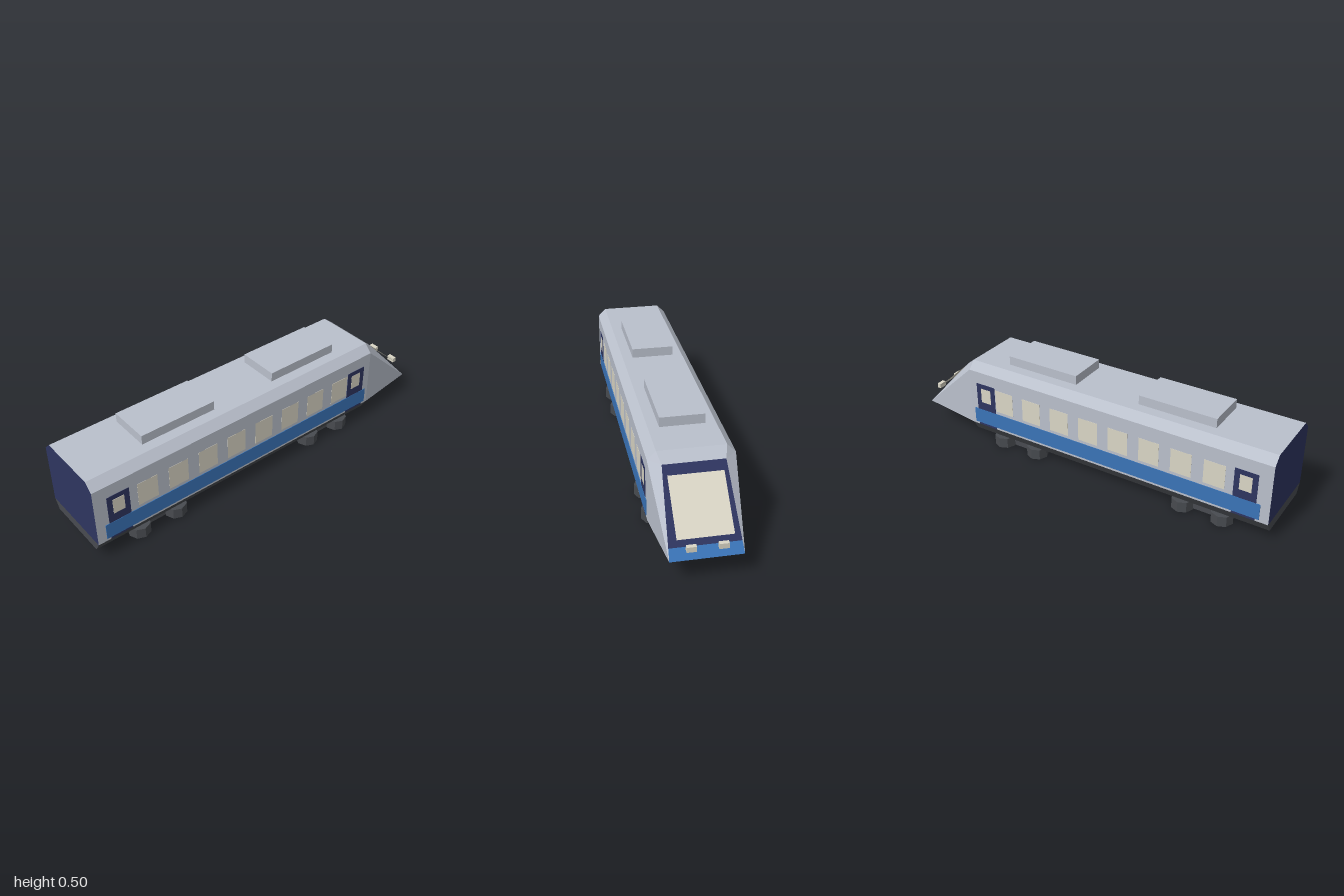
import * as THREE from 'three';

const paint = (name, color) => {
  const m = new THREE.MeshStandardMaterial({ color, side: THREE.DoubleSide });
  m.name = name;
  return m;
};

export function createModel() {
  const silver = paint('silver', 0xbac0cc);
  const navy = paint('navy', 0x2e3560);
  const blue = paint('blue', 0x3a74b8);
  const cream = paint('cream', 0xdad6c6);
  const dark = paint('dark grey', 0x484b50);

  const train = new THREE.Group();
  train.name = 'railcar';

  const add = (name, geometry, material) => {
    const mesh = new THREE.Mesh(geometry, material);
    mesh.name = name;
    train.add(mesh);
    return mesh;
  };

  // Box given by its limits on each axis
  const box = (name, material, [x0, x1], [y0, y1], [z0, z1]) =>
    add(name, new THREE.BoxGeometry(x1 - x0, y1 - y0, z1 - z0), material)
      .position.set((x0 + x1) / 2, (y0 + y1) / 2, (z0 + z1) / 2);

  // Flat-faced surface from convex polygons
  const faces = (name, material, polygons) => {
    const points = [];
    for (const p of polygons)
      for (let i = 1; i < p.length - 1; i++) points.push(...p[0], ...p[i], ...p[i + 1]);
    const g = new THREE.BufferGeometry();
    g.setAttribute('position', new THREE.Float32BufferAttribute(points, 3));
    g.computeVertexNormals();
    add(name, g, material);
  };

  // Symmetric section (half width, height) extruded along x
  const hull = (name, half, materials) => {
    const outline = [...half, ...half.map(([z, y]) => [-z, y]).reverse()];
    const shape = new THREE.Shape(outline.map(([z, y]) => new THREE.Vector2(z, y)));
    const g = new THREE.ExtrudeGeometry(shape, { depth: 1.665, bevelEnabled: false });
    g.rotateY(Math.PI / 2).translate(-1, 0, 0);
    add(name, g, materials);
  };

  // Carriage body with navy end wall, and tapered skirt
  hull('body', [[0.195, 0.105], [0.195, 0.415], [0.155, 0.455]], [navy, silver]);
  hull('skirt', [[0.165, 0.055], [0.195, 0.105]], dark);

  // Cab corners on one side
  const eave = s => [0.665, 0.415, 0.195 * s];
  const sill = s => [0.665, 0.105, 0.195 * s];
  const ridge = s => [0.665, 0.455, 0.155 * s];
  const brow = s => [0.715, 0.415, 0.14 * s];
  const chin = s => [0.99, 0.117, 0.16 * s];
  const band = s => [0.952, 0.158, 0.157 * s];

  const shell = [
    [ridge(1), brow(1), brow(-1), ridge(-1)],
    [sill(1), sill(-1), chin(-1), chin(1)],
  ];
  for (const s of [1, -1]) {
    shell.push([eave(s), sill(s), chin(s)], [eave(s), chin(s), brow(s)], [ridge(s), eave(s), brow(s)]);
  }
  faces('cabShell', silver, shell);
  faces('cabFront', navy, [[brow(1), band(1), band(-1), brow(-1)]]);
  faces('cabFrontBand', blue, [[band(1), chin(1), chin(-1), band(-1)]]);
  faces('windshield', cream, [[
    [0.752, 0.382, 0.123], [0.955, 0.198, 0.123], [0.955, 0.198, -0.123], [0.752, 0.382, -0.123],
  ]]);

  // Roof equipment
  for (const x of [-0.48, 0.27])
    box('roofUnit', silver, [x - 0.2, x + 0.2], [0.458, 0.505], [-0.105, 0.105]);

  for (const s of [1, -1]) {
    // Thin plate standing slightly proud of the side wall
    const plate = (name, material, xs, ys, proud) =>
      box(name, material, xs, ys, s > 0 ? [0.194, 0.195 + proud] : [-0.195 - proud, -0.194]);

    for (let i = 0; i < 8; i++) {
      const x = -0.778 + i * 0.168;
      plate('sideWindow', cream, [x, x + 0.107], [0.216, 0.34], 0.001);
    }
    for (const x of [-0.877, 0.567]) {
      plate('door', navy, [x - 0.057, x + 0.057], [0.106, 0.35], 0.0015);
      plate('doorWindow', cream, [x - 0.03, x + 0.03], [0.245, 0.325], 0.0025);
    }
    plate('sideStripe', blue, [-0.955, 0.645], [0.118, 0.2], 0.003);

    // Headlights mounted ahead of the nose
    box('headlight', cream, [0.98, 1], [0.163, 0.188], s > 0 ? [0.047, 0.09] : [-0.09, -0.047]);
  }

  // Bogies: frame with four eight-sided corner blocks
  for (const x of [-0.655, 0.395]) {
    box('bogieFrame', dark, [x - 0.103, x + 0.103], [0, 0.057], [-0.132, 0.132]);
    for (const dx of [-0.103, 0.103]) {
      for (const z of [-0.14, 0.14]) {
        const g = new THREE.CylinderGeometry(0.056, 0.056, 0.055, 8).toNonIndexed();
        g.computeVertexNormals();
        add('bogieBlock', g, dark).position.set(x + dx, 0.0275, z);
      }
    }
  }

  return train;
}
